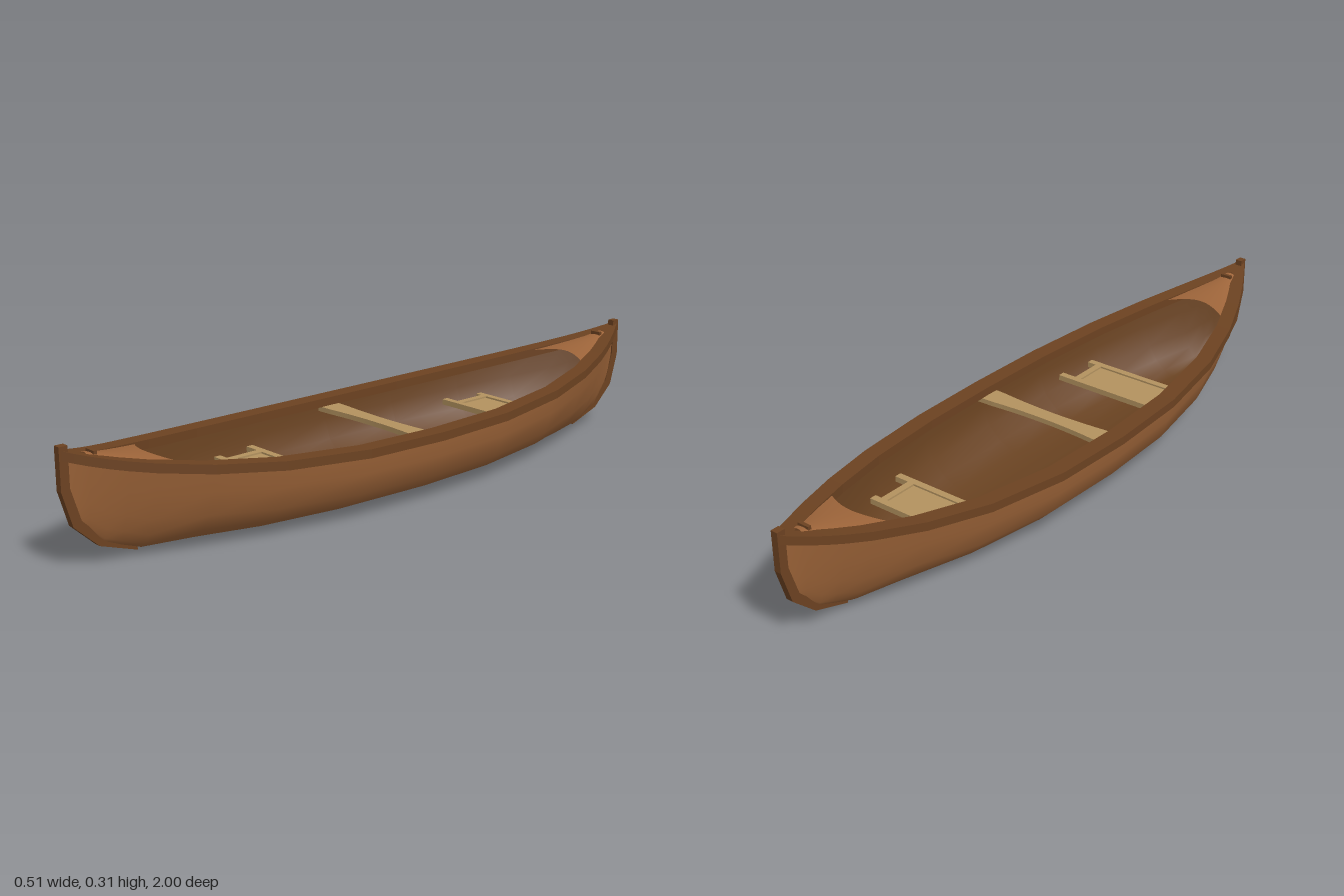
import * as THREE from 'three';

const mat = (name, color, side = THREE.FrontSide) =>
  Object.assign(new THREE.MeshStandardMaterial({ color, side }), { name });

// Hull lines as functions of z
const beam = z => 0.242 * (1 - Math.pow(Math.min(1, Math.abs(z)), 2.5));
const sheer = z => 0.203 + 0.09 * Math.pow(Math.abs(z), 2.5) + 0.012 * Math.pow(z, 12);
const KEEL = [[0, 0], [0.4, 0.003], [0.8, 0.019], [0.9, 0.054], [0.97, 0.118], [1, 0.205]];
function keel(z) {
  const a = Math.min(1, Math.abs(z));
  const i = Math.max(1, KEEL.findIndex(k => k[0] >= a));
  const [z0, y0] = KEEL[i - 1], [z1, y1] = KEEL[i];
  return y0 + (y1 - y0) * (a - z0) / (z1 - z0);
}
const HALF = [0, 0.25, 0.49, 0.67, 0.8, 0.86, 0.9, 0.94, 0.97, 1];
const stations = max => {
  const h = HALF.filter(z => z <= max);
  return [...h.slice(1).reverse().map(z => -z), ...h];
};

// Midship half section as fractions of beam and depth
const SECTION = [[0, 0], [0.25, 0.008], [0.5, 0.065], [0.73, 0.19], [0.9, 0.39], [0.985, 0.69], [1, 1]];
function hullRow(z, inset) {
  const b = Math.max(0, beam(z) - inset), k = keel(z) + inset, s = sheer(z) - 0.008;
  const e = Math.pow(Math.abs(z), 3); // ends turn V-shaped
  const half = SECTION.map(([x, y]) => [b * (x * (1 - e) + Math.pow(y, 0.65) * e), k + (s - k) * y, z * 0.992]);
  return [...half.slice(1).reverse().map(([x, y, w]) => [-x, y, w]), ...half];
}

// Surface through rows of points
function loft(rows, closed = false, flat = false) {
  const n = rows[0].length, idx = [];
  for (let i = 0; i < rows.length - 1; i++) {
    for (let j = 0; j < (closed ? n : n - 1); j++) {
      const a = i * n + j, b = i * n + (j + 1) % n, c = a + n, d = b + n;
      idx.push(a, b, c, b, d, c);
    }
  }
  let g = new THREE.BufferGeometry();
  g.setAttribute('position', new THREE.Float32BufferAttribute(rows.flat(2), 3));
  g.setIndex(idx);
  if (flat) g = g.toNonIndexed();
  g.computeVertexNormals();
  return g;
}

export function createModel() {
  const canoe = new THREE.Group();
  canoe.name = 'canoe';
  const hullWood = mat('hull wood', 0x9a6237);
  const deckWood = mat('deck wood', 0x9e653a, THREE.DoubleSide);
  const innerWood = mat('inner wood', 0x674120);
  const trimWood = mat('trim wood', 0x6c4221);
  const seatWood = mat('seat wood', 0xb3925f);

  const add = (name, geometry, material, parent = canoe) => {
    const m = new THREE.Mesh(geometry, material);
    m.name = name;
    parent.add(m);
    return m;
  };
  const box = (name, w, h, d, x, y, z, material, parent) =>
    add(name, new THREE.BoxGeometry(w, h, d), material, parent).position.set(x, y, z);

  // Hull skin and lining
  add('hull', loft(stations(1).map(z => hullRow(z, 0))), hullWood);
  add('hullLining', loft(stations(0.94).reverse().map(z => hullRow(z, 0.01))), innerWood);

  // Gunwales, overhanging less towards the ends
  for (const side of [1, -1]) {
    const rows = stations(1).map(z => {
      const o = beam(z) + 0.013 - 0.007 * z * z, i = Math.max(0, beam(z) - 0.036), s = sheer(z);
      return [[i, s - 0.022], [o, s - 0.022], [o, s + 0.002], [i, s + 0.002]].map(([x, y]) => [side * x, y, z]);
    });
    if (side < 0) rows.reverse();
    add(side > 0 ? 'leftGunwale' : 'rightGunwale', loft(rows, true, true), trimWood);
  }

  // Stem, deck and handle at both ends
  for (const end of ['bow', 'stern']) {
    const g = new THREE.Group();
    g.name = end;
    if (end === 'stern') g.rotation.y = Math.PI;
    canoe.add(g);

    const profile = [[1, 0.315], [1, 0.205], [0.973, 0.113], [0.905, 0.05], [0.8, 0.014],
      [0.8, 0.026], [0.89, 0.065], [0.95, 0.125], [0.976, 0.21], [0.976, 0.315]];
    const stem = new THREE.ExtrudeGeometry(
      new THREE.Shape(profile.map(([z, y]) => new THREE.Vector2(-z, y))), { depth: 0.02, bevelEnabled: false });
    stem.translate(0, 0, -0.01).rotateY(Math.PI / 2);
    add(end + 'Stem', stem, trimWood, g);

    const rows = [];
    for (let i = 0; i <= 6; i++) {
      const row = [];
      for (let j = 0; j <= 12; j++) {
        const u = j / 6 - 1;
        const z = 0.93 + (0.76 - 0.05 * u * u - 0.93) * i / 6;
        row.push([u * Math.max(0.002, beam(z) - 0.015), sheer(z) - 0.005 + 0.01 * (1 - u * u), z]);
      }
      rows.push(row);
    }
    add(end + 'Deck', loft(rows), deckWood, g);
    box(end + 'Handle', 0.034, 0.014, 0.01, 0, sheer(0.905) + 0.006, 0.908, trimWood, g);
  }

  // Centre thwart, narrowed in the middle
  const yoke = new THREE.Shape();
  yoke.moveTo(-0.22, -0.032);
  yoke.lineTo(-0.17, -0.03);
  yoke.quadraticCurveTo(0, -0.012, 0.17, -0.03);
  yoke.lineTo(0.22, -0.032);
  yoke.lineTo(0.22, 0.032);
  yoke.lineTo(0.17, 0.03);
  yoke.quadraticCurveTo(0, 0.012, -0.17, 0.03);
  yoke.lineTo(-0.22, 0.032);
  const thwart = new THREE.ExtrudeGeometry(yoke, { depth: 0.014, bevelEnabled: false, curveSegments: 10 });
  thwart.rotateX(-Math.PI / 2);
  add('thwart', thwart, seatWood).position.y = 0.168;

  // Seats: two cross rails, side rails and a recessed panel
  for (const [name, z, half] of [['frontSeat', 0.365, 0.14], ['backSeat', -0.48, 0.125]]) {
    const seat = new THREE.Group();
    seat.name = name;
    canoe.add(seat);
    for (const dz of [-0.06, 0.06]) {
      box(name + 'Rail', 2 * (beam(z + dz) - 0.045), 0.016, 0.02, 0, 0.122, z + dz, seatWood, seat);
    }
    for (const sx of [-1, 1]) {
      box(name + 'SideRail', 0.02, 0.016, 0.1, sx * (half - 0.01), 0.122, z, seatWood, seat);
    }
    box(name + 'Panel', 2 * half - 0.04, 0.006, 0.1, 0, 0.122, z, seatWood, seat);
  }
  return canoe;
}
